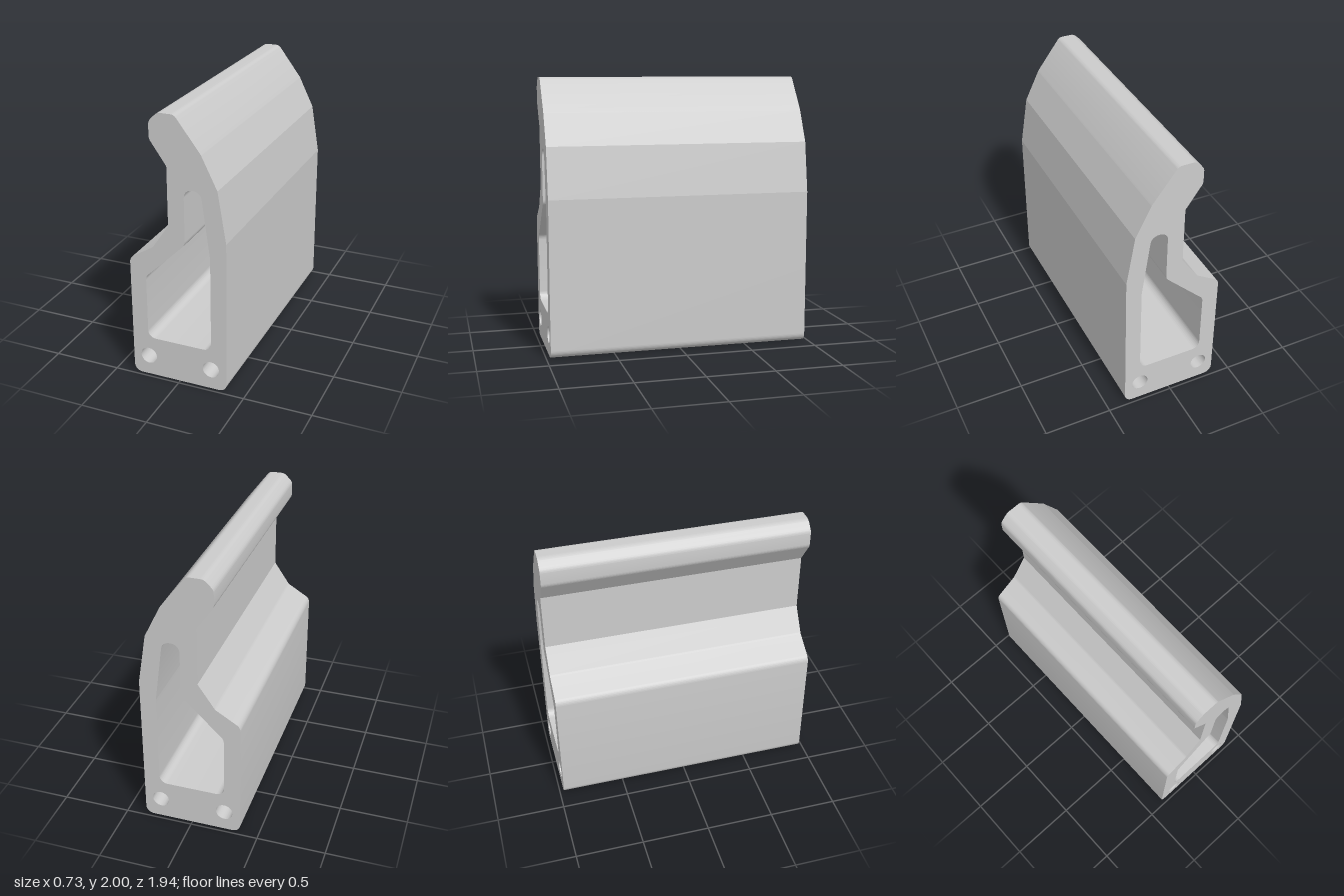
import * as THREE from 'three';
import { toCreasedNormals } from 'three/addons/utils/BufferGeometryUtils.js';

// Draws a closed polygon of [x, y, radius] corners, each filleted by its radius
function roundedPolygon(path, corners) {
  const n = corners.length;
  corners.forEach(([x, y, r], i) => {
    const p = new THREE.Vector2(x, y);
    const a = new THREE.Vector2(...corners[(i + n - 1) % n].slice(0, 2)).sub(p).normalize();
    const b = new THREE.Vector2(...corners[(i + 1) % n].slice(0, 2)).sub(p).normalize();
    if (!r) {
      if (i === 0) path.moveTo(x, y); else path.lineTo(x, y);
      return;
    }
    const half = Math.acos(a.dot(b)) / 2;
    const t = r / Math.tan(half);
    const start = p.clone().addScaledVector(a, t);
    const end = p.clone().addScaledVector(b, t);
    const c = p.clone().addScaledVector(a.clone().add(b).normalize(), r / Math.sin(half));
    if (i === 0) path.moveTo(start.x, start.y); else path.lineTo(start.x, start.y);
    path.absarc(c.x, c.y, r,
      Math.atan2(start.y - c.y, start.x - c.x),
      Math.atan2(end.y - c.y, end.x - c.x),
      a.cross(b) > 0);
  });
  path.closePath();
  return path;
}

export function createModel() {
  const group = new THREE.Group();
  const depth = 1.94;

  // Outer outline: rounded foot, bent back wall, hooked top, shoulder
  const profile = roundedPolygon(new THREE.Shape(), [
    [-0.365, 0, 0.06], [0.36, 0, 0.06],
    [0.36, 1.15, 0], [0.3, 1.52, 0], [0.185, 1.755, 0.06],
    [0, 2, 0.05], [-0.12, 2, 0.06], [-0.185, 1.935, 0.06], [-0.185, 1.815, 0.06],
    [-0.063, 1.64, 0], [-0.063, 1.21, 0],
    [-0.185, 1.03, 0.06], [-0.365, 0.92, 0.06],
  ]);

  // Central hollow with a narrow rounded top
  profile.holes.push(roundedPolygon(new THREE.Path(), [
    [-0.245, 0.305, 0.06], [0.243, 0.305, 0.06],
    [0.243, 1.02, 0.06], [0.18, 1.495, 0.06], [0.058, 1.495, 0.06],
    [0.058, 1.09, 0.06], [-0.245, 0.793, 0.06],
  ]));

  // Two bolt holes along the foot
  for (const x of [-0.245, 0.24]) {
    profile.holes.push(new THREE.Path().absarc(x, 0.153, 0.062, 0, Math.PI * 2));
  }

  const geometry = new THREE.ExtrudeGeometry(profile, { depth, bevelEnabled: false, curveSegments: 24 });
  geometry.translate(0, 0, -depth / 2);
  const body = new THREE.Mesh(
    toCreasedNormals(geometry, 0.14),
    new THREE.MeshStandardMaterial({ color: 0xcccccc }),
  );
  body.name = 'extrudedProfile';
  group.add(body);
  return group;
}
